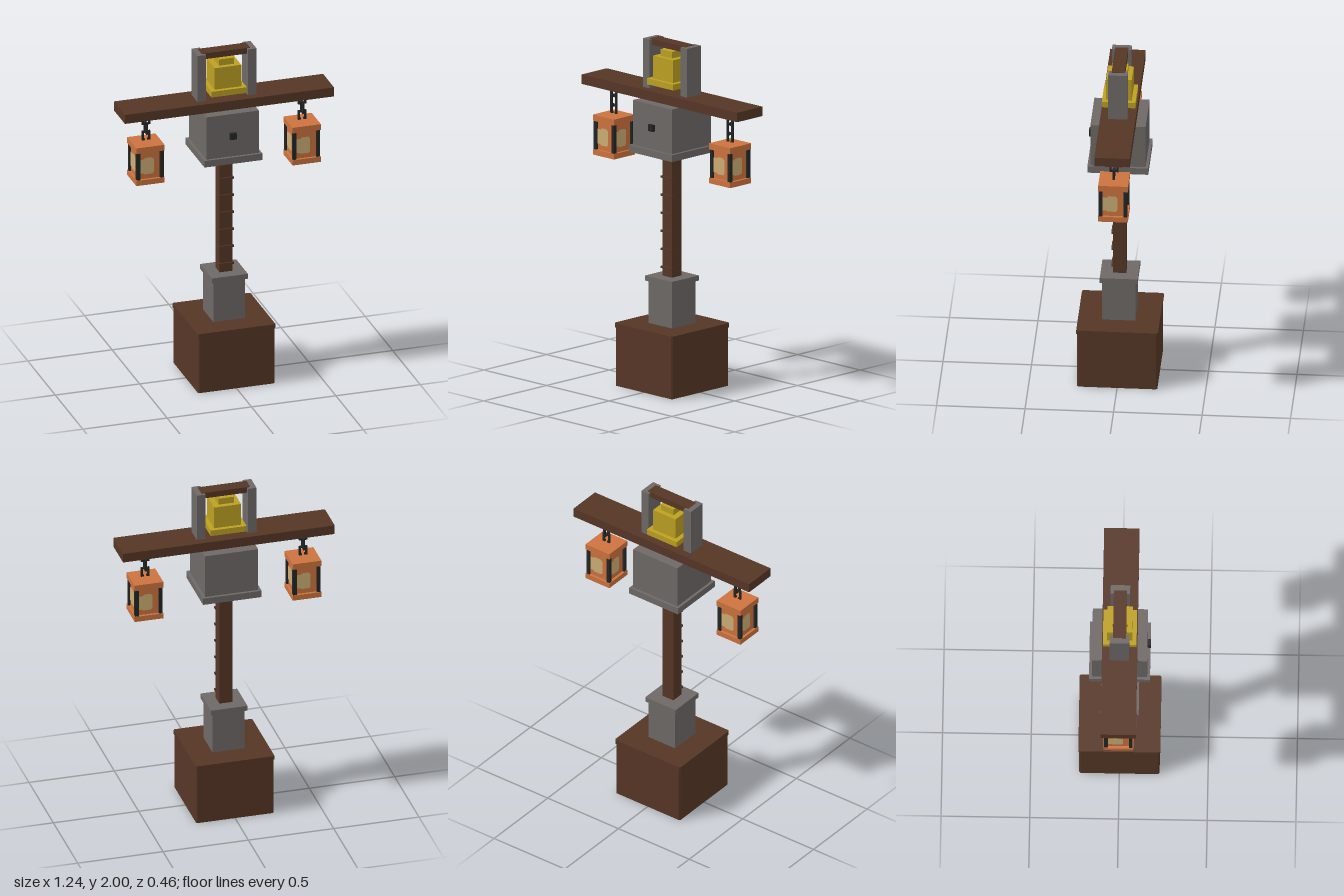
import * as THREE from 'three';

const mat = (name, color) => {
  const m = new THREE.MeshStandardMaterial({ color });
  m.name = name;
  return m;
};

export function createModel() {
  const wood = mat('dark wood', 0x563626);
  const stone = mat('grey stone', 0x6e6967);
  const gold = mat('bell gold', 0xbda022);
  const copper = mat('lantern copper', 0xcd733e);
  const glow = mat('lantern glow', 0xccae74);
  const iron = mat('black iron', 0x242626);

  const root = new THREE.Group();
  root.name = 'bellLampPost';

  const add = (parent, name, geo, material) => {
    const m = new THREE.Mesh(geo, material);
    m.name = name;
    parent.add(m);
    return m;
  };
  // Box given by its extents along each axis
  const box = (parent, name, material, [x0, x1], [y0, y1], [z0, z1]) => {
    const m = add(parent, name, new THREE.BoxGeometry(x1 - x0, y1 - y0, z1 - z0), material);
    m.position.set((x0 + x1) / 2, (y0 + y1) / 2, (z0 + z1) / 2);
    return m;
  };
  // Box centred on the post axis
  const block = (parent, name, material, hx, y0, y1, hz = hx) =>
    box(parent, name, material, [-hx, hx], [y0, y1], [-hz, hz]);

  // Square block with chamfered upright edges
  const chamfered = (name, h, c, y0, y1) => {
    const s = new THREE.Shape([
      [-h + c, -h], [h - c, -h], [h, -h + c], [h, h - c],
      [h - c, h], [-h + c, h], [-h, h - c], [-h, -h + c],
    ].map(([x, y]) => new THREE.Vector2(x, y)));
    const geo = new THREE.ExtrudeGeometry(s, { depth: y1 - y0, bevelEnabled: false });
    geo.rotateX(-Math.PI / 2);
    add(root, name, geo, wood).position.y = y0;
  };

  // Plinth, socket and post
  chamfered('plinth', 0.227, 0.008, 0, 0.34);
  chamfered('plinthLid', 0.231, 0.008, 0.34, 0.365);
  block(root, 'socket', stone, 0.094, 0.365, 0.61);
  block(root, 'socketRim', stone, 0.107, 0.61, 0.64);
  block(root, 'post', wood, 0.038, 0.64, 1.36);
  for (let i = 0; i < 7; i++) {
    const y = 0.69 + i * 0.105;
    box(root, 'rung', wood, [-0.044, 0.044], [y - 0.006, y + 0.006], [0.03, 0.046]);
  }

  // Stone head with a front stud
  block(root, 'headFlange', stone, 0.172, 1.36, 1.4);
  block(root, 'head', stone, 0.156, 1.4, 1.66);
  box(root, 'stud', iron, [-0.019, 0.019], [1.508, 1.546], [0.15, 0.174]);

  // Cross beam and bell frame
  block(root, 'beam', wood, 0.62, 1.66, 1.715, 0.1);
  for (const s of [-1, 1]) {
    block(root, 'framePost', stone, 0.0255, 1.715, 1.998, 0.055).position.x = s * 0.1495;
  }
  block(root, 'frameBar', wood, 0.143, 1.965, 2, 0.037);

  // Bell
  const bell = new THREE.Group();
  bell.name = 'bell';
  root.add(bell);
  block(bell, 'bellLip', gold, 0.105, 1.75, 1.785, 0.095);
  block(bell, 'bellBody', gold, 0.079, 1.785, 1.917, 0.072);
  block(bell, 'bellCrown', gold, 0.045, 1.917, 1.955);
  block(bell, 'clapper', iron, 0.017, 1.72, 1.75);

  // Glow patch on a lantern face
  const patch = new THREE.Shape([
    [-0.06, -0.045], [-0.035, -0.045], [-0.035, -0.052], [0.016, -0.052], [0.025, -0.04],
    [0.025, 0.036], [0.012, 0.048], [-0.03, 0.048], [-0.03, 0.04], [-0.06, 0.04],
  ].map(([x, y]) => new THREE.Vector2(x, y)));
  const patchGeo = new THREE.ShapeGeometry(patch);

  // Chain bars: flat rectangular links
  const t = 0.0055, w = 0.019;
  const link = (parent, y0, y1, open) => {
    const g = new THREE.Group();
    g.name = 'chainLink';
    parent.add(g);
    for (const s of [-1, 1]) {
      const x = s * w;
      box(g, 'linkSide', iron, [x - t, x + t], [y0, y1], [-t, t]);
      if (open === 'bottom') {
        box(g, 'linkFoot', iron, [x - t - s * 0.005, x + t - s * 0.005], [y0, y0 + 2 * t], [-t, t]);
      }
    }
    if (open !== 'top') box(g, 'linkTop', iron, [-w, w], [y1 - 2 * t, y1], [-t, t]);
    if (open !== 'bottom') box(g, 'linkBottom', iron, [-w, w], [y0, y0 + 2 * t], [-t, t]);
    return g;
  };

  // Hanging lanterns
  for (const s of [-1, 1]) {
    const lantern = new THREE.Group();
    lantern.name = s > 0 ? 'leftLantern' : 'rightLantern';
    lantern.position.x = s * 0.463;
    root.add(lantern);
    block(lantern, 'lanternFloor', copper, 0.084, 1.26, 1.292);
    block(lantern, 'lanternBody', copper, 0.069, 1.292, 1.457);
    block(lantern, 'lanternRoof', copper, 0.084, 1.457, 1.492);
    for (const x of [-0.07, 0.07]) for (const z of [-0.07, 0.07]) {
      const bar = block(lantern, 'cornerBar', iron, 0.0105, 1.292, 1.457);
      bar.position.x = x;
      bar.position.z = z;
    }
    for (let i = 0; i < 4; i++) {
      const pane = add(lantern, 'glowPane', patchGeo, glow);
      const a = i * Math.PI / 2;
      pane.position.set(Math.sin(a) * 0.071, 1.372, Math.cos(a) * 0.071);
      pane.rotation.y = a;
    }
    link(lantern, 1.595, 1.66, 'top');
    link(lantern, 1.54, 1.612, 'none').rotation.y = Math.PI / 2;
    link(lantern, 1.5, 1.556, 'bottom');
  }

  return root;
}
